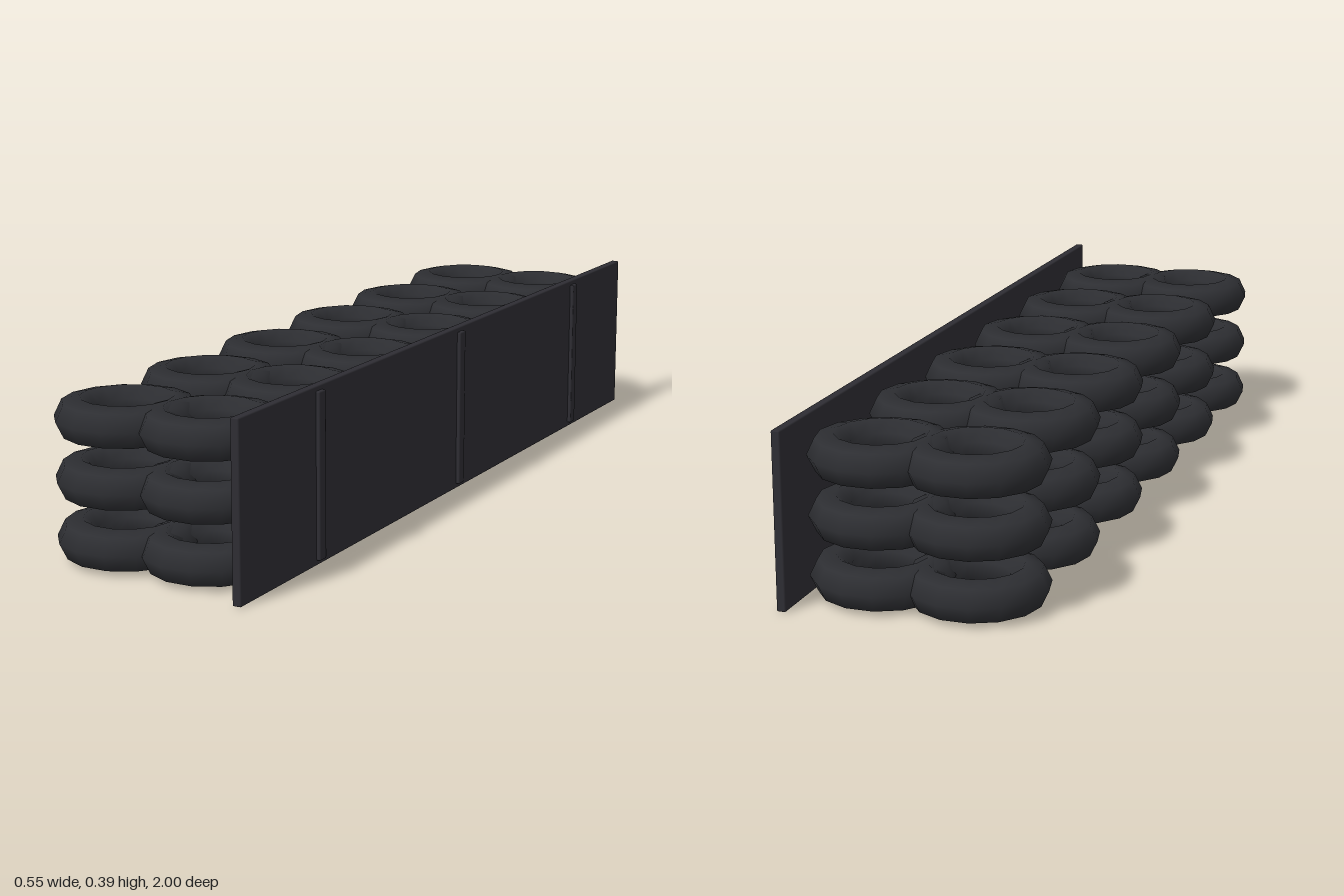
import * as THREE from 'three';
import { RoundedBoxGeometry } from 'three/addons/geometries/RoundedBoxGeometry.js';

export function createModel() {
  const model = new THREE.Group();
  model.name = 'tyreBarrier';

  const rubber = new THREE.MeshStandardMaterial({ name: 'tyre rubber', color: 0x2d2e32 });
  const belt = new THREE.MeshStandardMaterial({ name: 'belt panel', color: 0x2e2d33 });

  // Tyres: six pairs of stacks along z, three tyres high
  const tyreGeometry = new THREE.TorusGeometry(0.111, 0.046, 7, 14).rotateX(Math.PI / 2);
  for (let i = 0; i < 6; i++) {
    for (const x of [-0.118, 0.092]) {
      const stack = new THREE.Group();
      stack.name = 'tyreStack';
      stack.position.set(x, 0, -0.829 + i * 0.331);
      for (let level = 0; level < 3; level++) {
        const tyre = new THREE.Mesh(tyreGeometry, rubber);
        tyre.name = 'tyre';
        tyre.position.y = 0.048 + level * 0.1325;
        stack.add(tyre);
      }
      model.add(stack);
    }
  }

  // Long belt panel joining the stacks on one side
  const panel = new THREE.Mesh(new RoundedBoxGeometry(0.02, 0.391, 2, 1, 0.003), belt);
  panel.name = 'beltPanel';
  panel.position.set(0.253, 0.1955, 0);
  model.add(panel);

  // Vertical straps on the outer face of the panel
  const strapGeometry = new RoundedBoxGeometry(0.016, 0.369, 0.028, 1, 0.003);
  for (const z of [-0.676, 0, 0.676]) {
    const strap = new THREE.Mesh(strapGeometry, belt);
    strap.name = 'strap';
    strap.position.set(0.264, 0.1955, z);
    model.add(strap);
  }

  return model;
}
